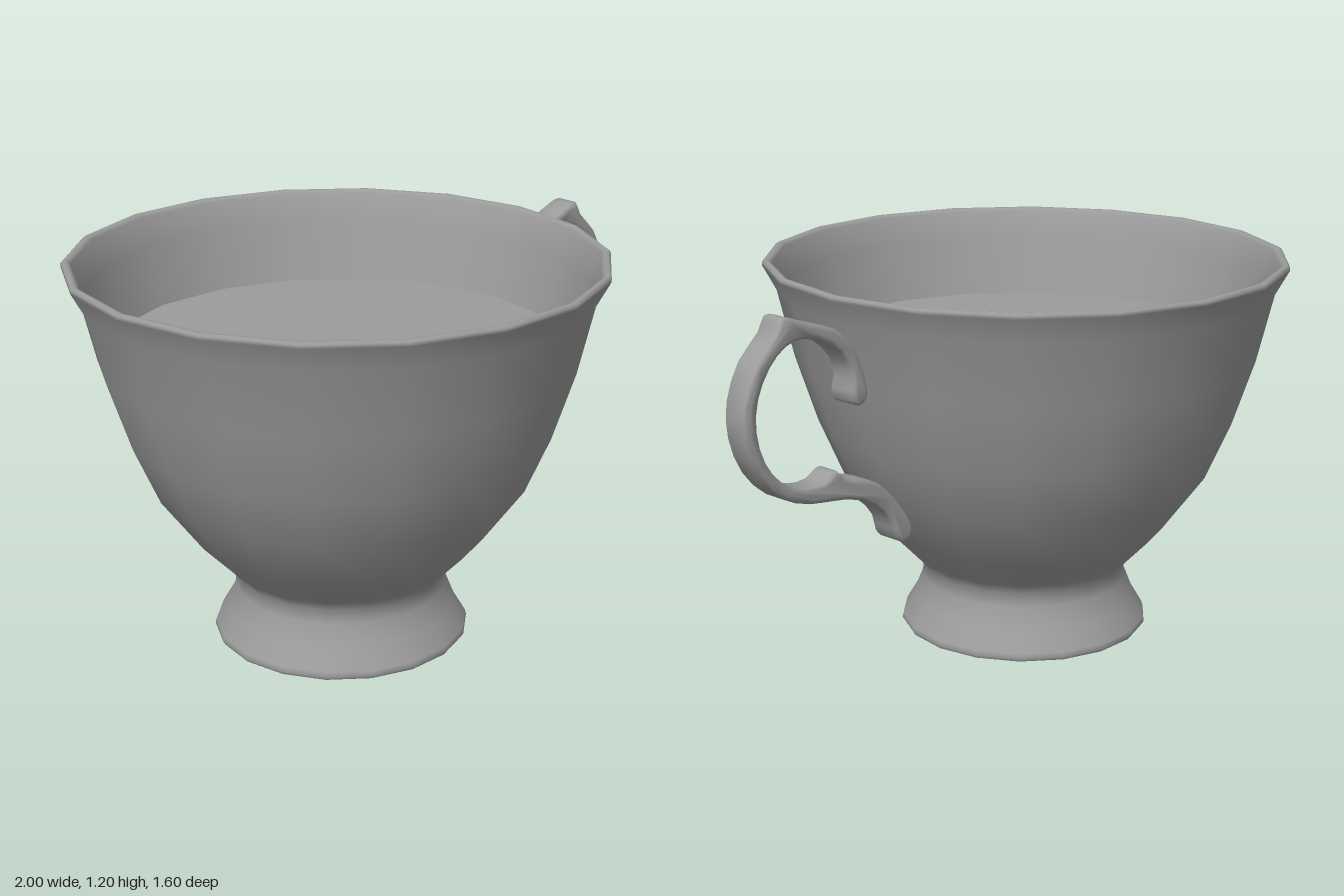
import * as THREE from 'three';
import { toCreasedNormals } from 'three/addons/utils/BufferGeometryUtils.js';

const SIDES = 18;
const v2 = ([x, y]) => new THREE.Vector2(x, y);

export function createModel() {
  const model = new THREE.Group();
  const grey = new THREE.MeshStandardMaterial({ color: 0x9c9c9c });
  const add = (name, geometry, x = 0, y = 0) => {
    const mesh = new THREE.Mesh(geometry, grey);
    mesh.name = name;
    mesh.position.set(x, y, 0);
    model.add(mesh);
  };
  const cupX = -0.186;

  // Foot, bowl, rim and inner wall in one turned profile
  const profile = [
    [0.392, 0], [0.398, 0.01], [0.394, 0.025], [0.356, 0.09], [0.33, 0.155], [0.328, 0.2],
    [0.355, 0.235], [0.45, 0.335], [0.578, 0.51], [0.655, 0.69], [0.723, 0.9], [0.772, 1.11],
    [0.814, 1.187], [0.814, 1.198], [0.806, 1.204], [0.794, 1.202], [0.785, 1.193],
    [0.748, 1.11], [0.7, 0.9], [0.63, 0.69], [0.55, 0.51], [0.42, 0.34], [0, 0.27],
  ].map(v2);
  add('cup', new THREE.LatheGeometry(profile, SIDES, Math.PI / 2), cupX);

  // Underside of the foot
  add('footBase', new THREE.CircleGeometry(0.392, SIDES).rotateX(Math.PI / 2), cupX);

  // Drink surface
  add('liquid', new THREE.CircleGeometry(0.706, SIDES).rotateX(-Math.PI / 2), cupX, 0.92);

  // Scrolled handle: closed outline with thumb spur, extruded with soft edges
  const outline = [
    [0.568, 0.88], [0.543, 0.895], [0.539, 0.93], [0.553, 0.99], [0.585, 1.06], [0.65, 1.12],
    [0.745, 1.153], [0.81, 1.178], [0.845, 1.184], [0.87, 1.14], [0.943, 1.07], [0.99, 0.965],
    [0.99, 0.86], [0.945, 0.75], [0.865, 0.67], [0.76, 0.628], [0.62, 0.608], [0.515, 0.567],
    [0.45, 0.5], [0.432, 0.445], [0.4, 0.419], [0.366, 0.44], [0.37, 0.48], [0.413, 0.545],
    [0.49, 0.625], [0.57, 0.66], [0.63, 0.676], [0.655, 0.703], [0.675, 0.7], [0.71, 0.68],
    [0.785, 0.682], [0.865, 0.72], [0.922, 0.79], [0.95, 0.885], [0.94, 0.975], [0.895, 1.055],
    [0.835, 1.103], [0.77, 1.113], [0.675, 1.08], [0.61, 1.02], [0.594, 0.96], [0.599, 0.9],
  ].map(([x, y]) => new THREE.Vector3(x, y, 0));
  const curve = new THREE.CatmullRomCurve3(outline, true, 'centripetal');
  const points = curve.getPoints(outline.length * 2).slice(0, -1);
  const shape = new THREE.Shape(points.map((p) => new THREE.Vector2(p.x, p.y)));
  const bevel = 0.014, halfWidth = 0.046;
  const handle = new THREE.ExtrudeGeometry(shape, {
    depth: 2 * (halfWidth - bevel), bevelThickness: bevel, bevelSize: bevel,
    bevelOffset: -bevel, bevelSegments: 3,
  }).translate(0.005, 0, bevel - halfWidth);

  // Both tips swell slightly sideways
  const tips = [[0.4, 0.44], [0.57, 0.91]].map(v2);
  const pos = handle.attributes.position;
  for (let i = 0; i < pos.count; i++) {
    const p = new THREE.Vector2(pos.getX(i), pos.getY(i));
    const swell = tips.reduce((s, tip) => s + Math.exp(-((p.distanceTo(tip) / 0.06) ** 2)), 0);
    pos.setZ(i, pos.getZ(i) * (1 + 0.16 * swell));
  }
  add('handle', toCreasedNormals(handle, Math.PI / 3));

  return model;
}
